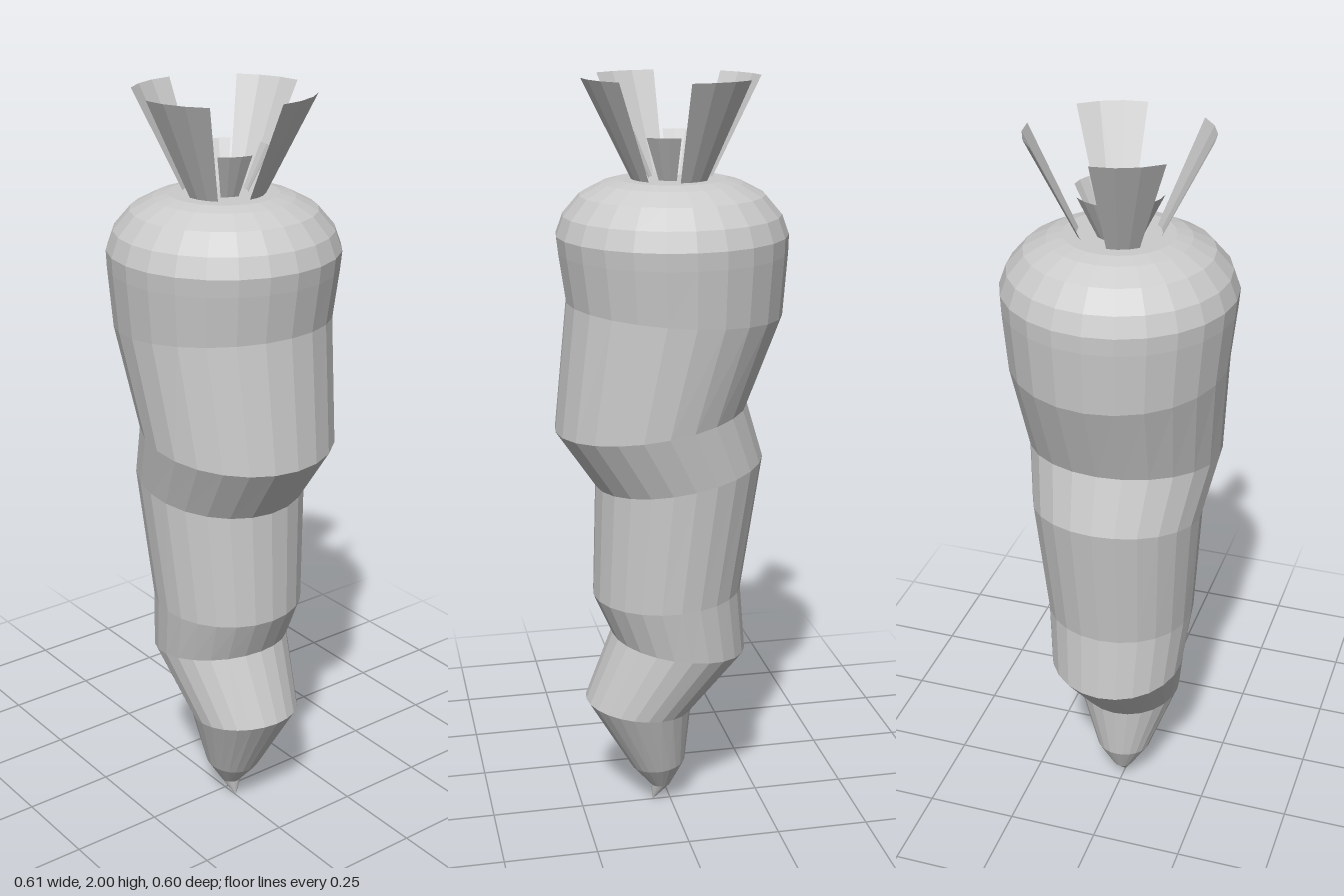
import * as THREE from 'three';

const SIDES = 24;
const CX = -0.005; // axis of the crown and leaves

// Round cross-sections, each given by its left and right edge: [xL, yL, xR, yR]
const ROOT_RINGS = [
  [0.05, 0.0, 0.05, 0.0],
  [0.0, 0.05, 0.055, 0.05],
  [-0.04, 0.13, 0.11, 0.115],
  [-0.055, 0.295, 0.235, 0.33],
  [-0.205, 0.465, 0.16, 0.52],
  [-0.19, 0.65, 0.21, 0.635],
  [-0.245, 1.02, 0.2, 0.945],
  [-0.2, 1.17, 0.305, 1.1],
  [-0.29, 1.4, 0.27, 1.44],
  [-0.302, 1.565, 0.288, 1.565],
];

// Rounded shoulder and flat top: [radius, y]
const CROWN = [[0.298, 1.61], [0.28, 1.66], [0.237, 1.71], [0.18, 1.74], [0.14, 1.75], [0, 1.75]];

// Skin stretched over tilted circles, listed from bottom to top
function loftRings(rings) {
  const positions = [];
  const index = [];
  for (const [xl, yl, xr, yr] of rings) {
    const ux = (xr - xl) / 2, uy = (yr - yl) / 2, r = Math.hypot(ux, uy);
    for (let i = 0; i < SIDES; i++) {
      const a = (i / SIDES) * Math.PI * 2;
      positions.push((xl + xr) / 2 + ux * Math.cos(a), (yl + yr) / 2 + uy * Math.cos(a), -r * Math.sin(a));
    }
  }
  const last = rings.length - 2;
  for (let j = 0; j <= last; j++) {
    for (let i = 0; i < SIDES; i++) {
      const k = (i + 1) % SIDES;
      const a = j * SIDES + i, b = j * SIDES + k;
      if (j > 0) index.push(a, b, b + SIDES);
      if (j === 0) index.push(a, b + SIDES, a + SIDES);
      else if (j < last) index.push(a, b + SIDES, a + SIDES);
    }
  }
  const geometry = new THREE.BufferGeometry();
  geometry.setAttribute('position', new THREE.Float32BufferAttribute(positions, 3));
  geometry.setIndex(index);
  geometry.computeVertexNormals();
  return geometry;
}

export function createModel() {
  const model = new THREE.Group();
  model.name = 'carrot';

  // Crooked root with rounded crown
  const crownRings = CROWN.map(([r, y]) => [CX - r, y, CX + r, y]);
  const root = new THREE.Mesh(
    loftRings([...ROOT_RINGS, ...crownRings]),
    new THREE.MeshStandardMaterial({ color: 0xcccccc, flatShading: true })
  );
  root.name = 'root';
  model.add(root);

  // Flared stalks: eighths of open cones, alternating tall and short
  const leafMaterial = new THREE.MeshStandardMaterial({
    color: 0xcccccc, flatShading: true, side: THREE.DoubleSide,
  });
  const leaves = new THREE.Group();
  leaves.name = 'leaves';
  for (let i = 0; i < 8; i++) {
    const tall = i % 2 === 0;
    const [top, bottom, height] = tall ? [0.23, 0.105, 0.25] : [0.114, 0.06, 0.11];
    const leaf = new THREE.Mesh(
      new THREE.CylinderGeometry(top, bottom, height, 3, 1, true, Math.PI / 2 + (i * Math.PI) / 4, Math.PI / 4),
      leafMaterial
    );
    leaf.name = tall ? 'tallLeaf' : 'shortLeaf';
    leaf.position.set(CX, 1.75 + height / 2, 0);
    leaves.add(leaf);
  }
  model.add(leaves);
  return model;
}
